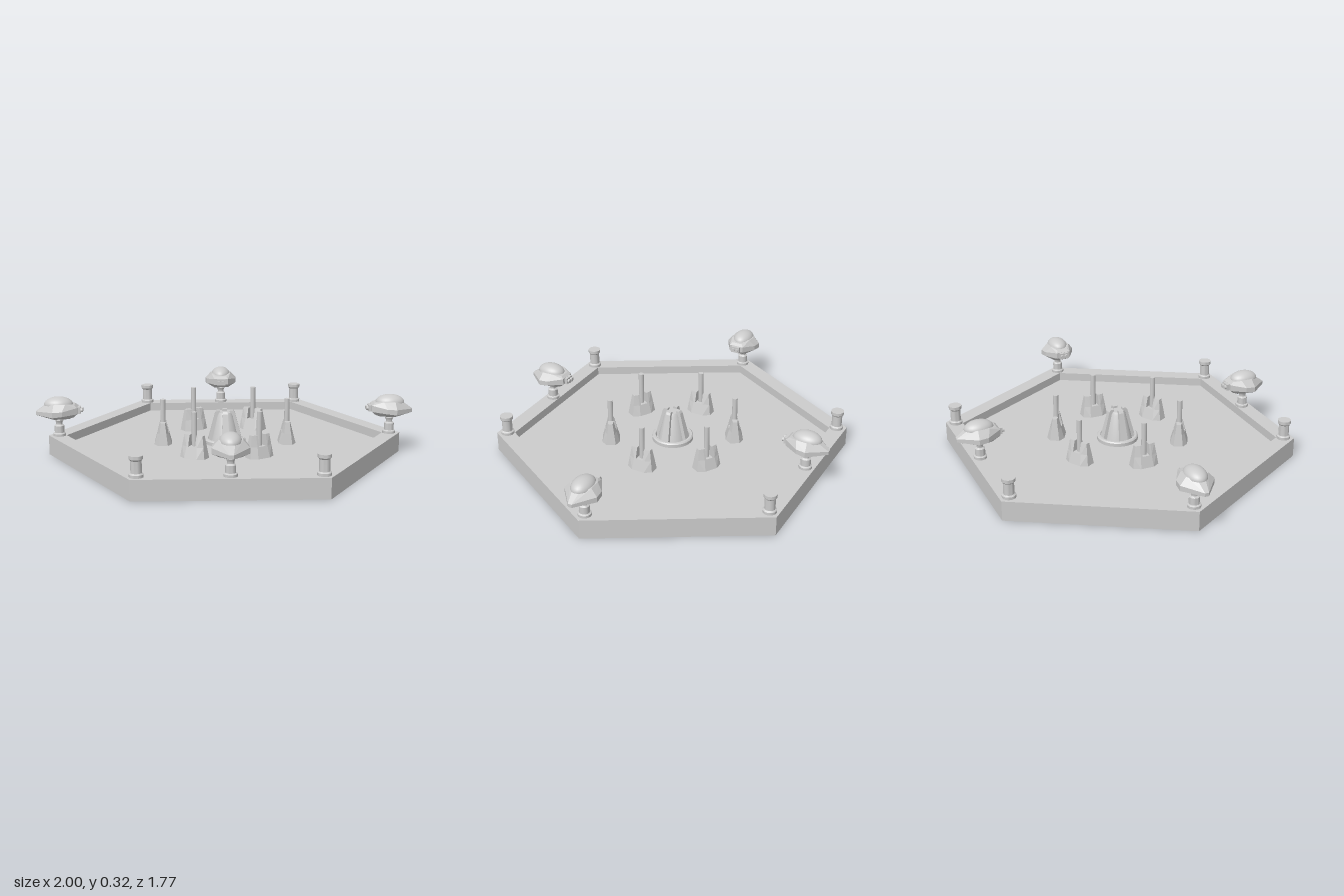
import * as THREE from 'three';
import { ConvexGeometry } from 'three/addons/geometries/ConvexGeometry.js';
import { toCreasedNormals } from 'three/addons/utils/BufferGeometryUtils.js';

const FLOOR = 0.06, RIM = 0.105;
const grey = new THREE.MeshStandardMaterial({ color: 0xcccccc });
const flat = new THREE.MeshStandardMaterial({ color: 0xcccccc, flatShading: true });

function add(parent, name, geometry, x = 0, y = 0, z = 0, material = grey) {
  const mesh = new THREE.Mesh(geometry, material);
  mesh.name = name;
  mesh.position.set(x, y, z);
  parent.add(mesh);
  return mesh;
}

// Convex block from [x, y, z] corners, mirrored across z when asked
function block(points, mirrorZ = false) {
  const list = points.map((p) => new THREE.Vector3(...p));
  if (mirrorZ) points.forEach(([x, y, z]) => list.push(new THREE.Vector3(x, y, -z)));
  return new ConvexGeometry(list);
}

function lathe(profile, segments = 24) {
  const points = profile.map(([r, y]) => new THREE.Vector2(r, y));
  return toCreasedNormals(new THREE.LatheGeometry(points, segments), 0.6);
}

const hexPoints = (r) => Array.from({ length: 6 }, (_, i) =>
  new THREE.Vector2(r * Math.cos(i * Math.PI / 3), r * Math.sin(i * Math.PI / 3)));

// Hexagonal tray with a raised border
function createBase() {
  const base = new THREE.Group();
  base.name = 'base';
  const border = new THREE.Shape(hexPoints(0.938));
  border.holes.push(new THREE.Path(hexPoints(0.843)));
  const extrude = (shape, depth) =>
    new THREE.ExtrudeGeometry(shape, { depth, bevelEnabled: false }).rotateX(-Math.PI / 2);
  add(base, 'border', extrude(border, RIM), 0, 0, 0, flat);
  add(base, 'floor', extrude(new THREE.Shape(hexPoints(0.843)), FLOOR), 0, 0, 0, flat);
  return base;
}

// Short capped post for the border corners
function createPost() {
  return lathe([[0, 0], [0.035, 0], [0.035, 0.014], [0.027, 0.02], [0.027, 0.08],
    [0.034, 0.088], [0.034, 0.105], [0, 0.105]]);
}

// Domed turret; +x points outward, the barrels point inward
function createTurret() {
  const turret = new THREE.Group();
  turret.name = 'turret';
  add(turret, 'stand', lathe([[0, 0], [0.034, 0], [0.034, 0.013], [0.026, 0.018], [0.026, 0.055],
    [0.017, 0.062], [0.017, 0.072], [0.023, 0.085], [0.018, 0.105], [0, 0.105]]), 0, RIM, 0);
  add(turret, 'hull', block([
    // underside
    [0.065, 0.207, 0.01], [0.02, 0.203, 0.055], [-0.055, 0.203, 0.04], [-0.08, 0.21, 0.03],
    // pointed rim
    [0.12, 0.22, 0.01], [0.025, 0.22, 0.09], [-0.025, 0.225, 0.085], [-0.1, 0.228, 0.04],
    [0.12, 0.238, 0.01], [0.025, 0.248, 0.09], [-0.025, 0.25, 0.085], [-0.1, 0.262, 0.04],
    // upper deck
    [0.06, 0.28, 0.02], [0.02, 0.284, 0.058], [-0.04, 0.284, 0.055], [-0.085, 0.274, 0.03],
  ], true), 0, 0, 0, flat);
  const dome = new THREE.SphereGeometry(1, 28, 10, 0, Math.PI * 2, 0, Math.PI / 2);
  add(turret, 'dome', dome.scale(0.077, 0.043, 0.054), 0, 0.273, 0);
  add(turret, 'barrelMount', new THREE.BoxGeometry(0.02, 0.034, 0.05), -0.106, 0.244, 0);
  for (const side of [-1, 1]) {
    const barrel = new THREE.CylinderGeometry(0.011, 0.011, 0.03, 12).rotateZ(Math.PI / 2);
    add(turret, 'barrel', barrel, -0.112, 0.244, side * 0.012);
  }
  return turret;
}

// Forked pylon holding a thin rod, long along z
function createPylon() {
  const pylon = new THREE.Group();
  pylon.name = 'pylon';
  const notch = 0.12, top = 0.178;
  add(pylon, 'foot', block([
    [0.046, FLOOR, 0.035], [-0.046, FLOOR, 0.035], [0.025, FLOOR, 0.071], [-0.025, FLOOR, 0.071],
    [0.03, notch, 0.03], [-0.03, notch, 0.03], [0.018, notch, 0.062], [-0.018, notch, 0.062],
  ], true), 0, 0, 0, flat);
  for (const s of [-1, 1]) {
    const prong = [];
    for (const x of [-1, 1]) {
      prong.push([x * 0.03, notch, s * 0.02], [x * 0.03, notch, s * 0.03], [x * 0.018, notch, s * 0.062],
        [x * 0.015, top, s * 0.02], [x * 0.015, top, s * 0.03], [x * 0.011, top, s * 0.053]);
    }
    add(pylon, 'prong', block(prong), 0, 0, 0, flat);
  }
  add(pylon, 'rod', new THREE.CylinderGeometry(0.014, 0.014, 0.19, 14), 0, 0.202, 0);
  return pylon;
}

// Central finned tower standing in a low ring
function createTower() {
  const tower = new THREE.Group();
  tower.name = 'tower';
  add(tower, 'ring', lathe([[0.088, 0], [0.11, 0], [0.11, 0.018], [0.104, 0.024], [0.092, 0.024],
    [0.088, 0.018], [0.088, 0]], 36), 0, FLOOR, 0);
  add(tower, 'core', lathe([[0, 0], [0.078, 0], [0.042, 0.15], [0.034, 0.165], [0, 0.165]], 32), 0, FLOOR, 0);
  for (let i = 0; i < 4; i++) {
    const fin = [];
    for (const z of [-1, 1]) {
      fin.push([0.02, FLOOR, z * 0.022], [0.095, FLOOR, z * 0.022], [0.052, 0.225, z * 0.013],
        [0.044, 0.236, z * 0.012], [0.026, 0.236, z * 0.012]);
    }
    add(tower, 'fin', block(fin), 0, 0, 0, flat).rotation.y = i * Math.PI / 2;
  }
  return tower;
}

export function createModel() {
  const model = new THREE.Group();
  model.name = 'platform';
  model.add(createBase(), createTower());

  // Ring of six pylons
  for (let i = 0; i < 6; i++) {
    const a = i * Math.PI / 3;
    const pylon = createPylon();
    pylon.position.set(0.33 * Math.cos(a), 0, -0.33 * Math.sin(a));
    pylon.rotation.y = a;
    model.add(pylon);
  }

  // Four turrets on the border, facing the centre
  for (let i = 0; i < 4; i++) {
    const a = i * Math.PI / 2, r = i % 2 ? 0.765 : 0.88;
    const turret = createTurret();
    turret.position.set(r * Math.cos(a), 0, -r * Math.sin(a));
    turret.rotation.y = a;
    model.add(turret);
  }

  // Corner posts
  for (const x of [-1, 1]) for (const z of [-1, 1]) {
    add(model, 'cornerPost', createPost(), x * 0.44, RIM, z * 0.763);
  }
  return model;
}
